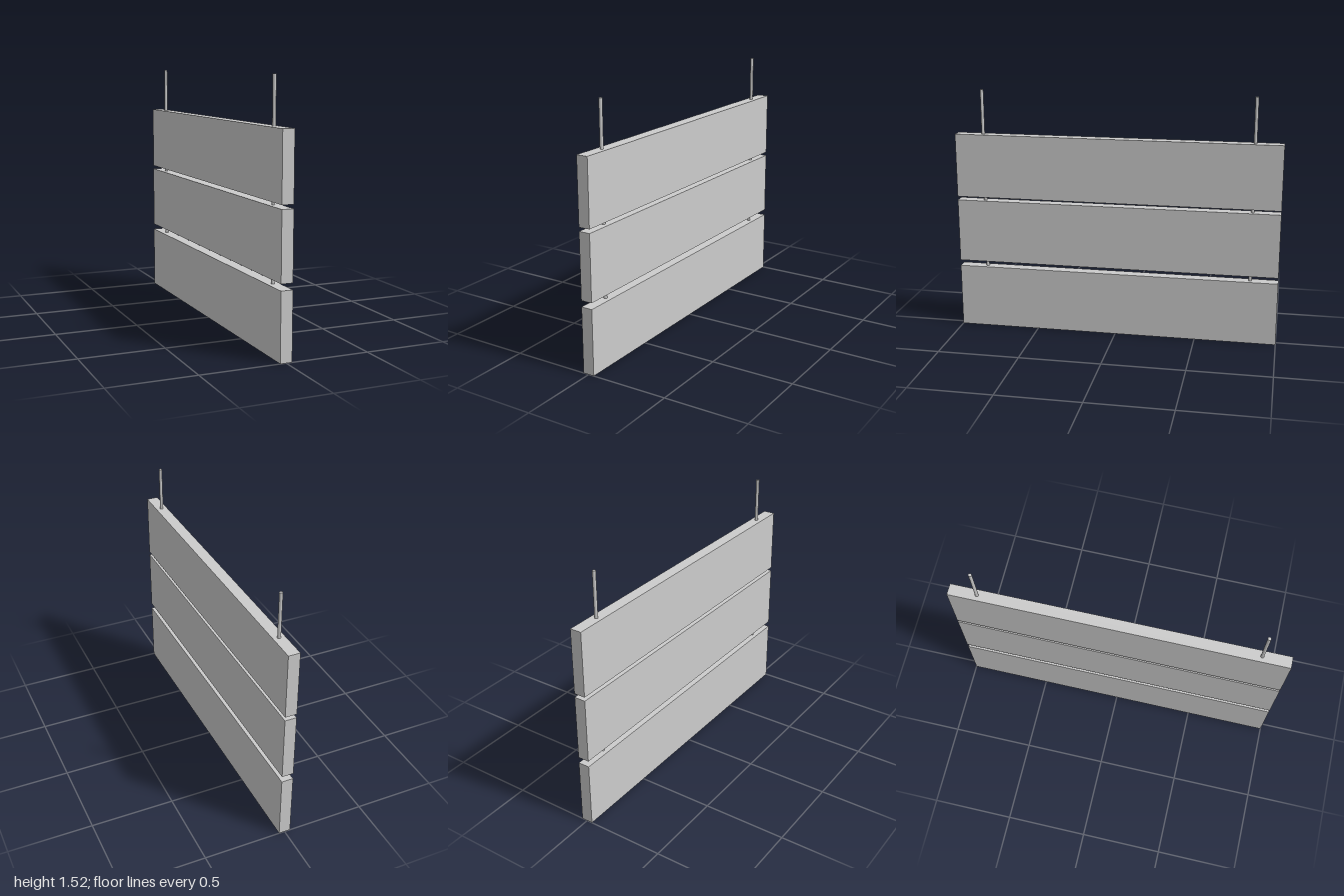
import * as THREE from 'three';

export function createModel() {
  const model = new THREE.Group();
  model.name = 'hangingPlankSign';
  const material = new THREE.MeshStandardMaterial({ color: 0xcccccc });

  // Three identical planks, stacked with narrow gaps
  const plankHeight = 0.395;
  const plankGeometry = new THREE.BoxGeometry(0.07, plankHeight, 2);
  const plankBottoms = { bottomPlank: 0, middlePlank: 0.432, topPlank: 0.85 };
  for (const [name, bottom] of Object.entries(plankBottoms)) {
    const plank = new THREE.Mesh(plankGeometry, material);
    plank.name = name;
    plank.position.y = bottom + plankHeight / 2;
    model.add(plank);
  }

  // Two hanging rods threaded down through the planks
  const rodTop = 1.52, rodBottom = 0.36;
  const rodGeometry = new THREE.CylinderGeometry(0.01, 0.01, rodTop - rodBottom, 16);
  for (const side of [1, -1]) {
    const rod = new THREE.Mesh(rodGeometry, material);
    rod.name = side > 0 ? 'frontRod' : 'backRod';
    rod.position.set(0, (rodTop + rodBottom) / 2, side * 0.83);
    model.add(rod);
  }

  return model;
}
